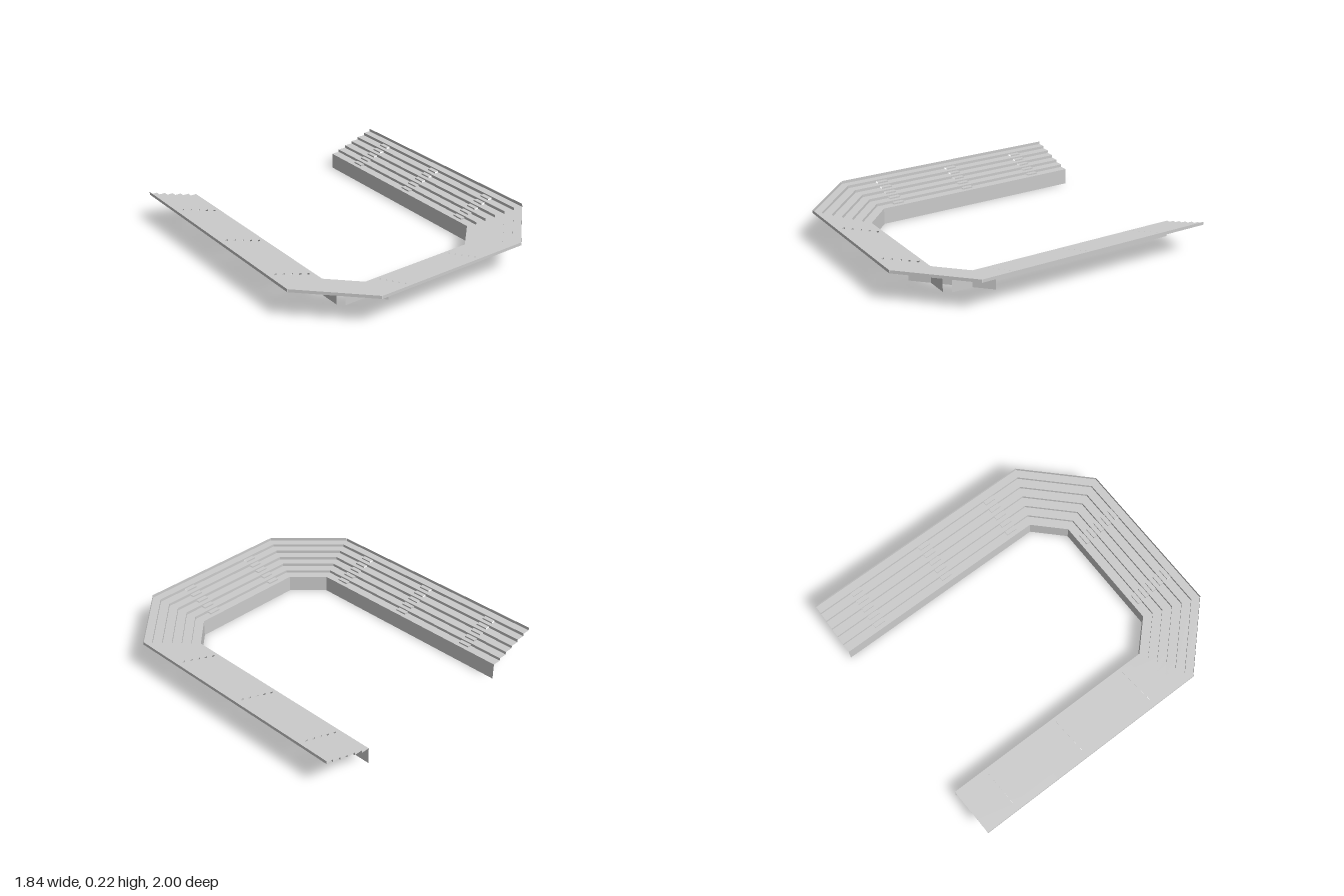
import * as THREE from 'three';

const WIDTH = 0.538;      // one stand module
const AISLE = 0.076;      // stair width at the middle of a module
const WALL = 0.11, TOP = 0.203, PARAPET = 0.223;
const RUN = 0.292, DEPTH = 0.345;
const ROWS = 5;

const material = new THREE.MeshStandardMaterial({
  color: 0xcccccc, flatShading: true, side: THREE.DoubleSide,
});

// Thin folded sheet: a [z, y] profile swept along x from x0 to x1
function foldedSheet(name, profile, x0, x1) {
  const pos = [];
  for (let i = 0; i < profile.length - 1; i++) {
    const [za, ya] = profile[i], [zb, yb] = profile[i + 1];
    pos.push(x0, ya, za, x1, yb, zb, x0, yb, zb);
    pos.push(x0, ya, za, x1, ya, za, x1, yb, zb);
  }
  // wind the faces toward the pitch and upward
  for (let i = 0; i < pos.length; i += 9) {
    for (let k = 0; k < 3; k++) {
      const t = pos[i + 3 + k];
      pos[i + 3 + k] = pos[i + 6 + k];
      pos[i + 6 + k] = t;
    }
  }
  const geometry = new THREE.BufferGeometry();
  geometry.setAttribute('position', new THREE.Float32BufferAttribute(pos, 3));
  geometry.computeVertexNormals();
  const mesh = new THREE.Mesh(geometry, material);
  mesh.name = name;
  return mesh;
}

// Stepped profile from the front wall up to the walkway
function steps(count) {
  const points = [[0, WALL]];
  for (let i = 1; i <= count; i++) {
    const z = RUN * i / count;
    points.push([z, WALL + (TOP - WALL) * (i - 1) / count]);
    points.push([z, WALL + (TOP - WALL) * i / count]);
  }
  return points;
}

// One straight module: its back faces +z, its front wall is at z = 0
function standModule(name, hasAisle) {
  const group = new THREE.Group();
  group.name = name;
  const h = WIDTH / 2, a = AISLE / 2;
  group.add(foldedSheet('frontWall', [[0, 0], [0, WALL]], -h, h));
  if (hasAisle) {
    group.add(foldedSheet('seatingTiers', steps(ROWS), -h, -a));
    group.add(foldedSheet('aisleStairs', steps(ROWS * 2), -a, a));
    group.add(foldedSheet('seatingTiers', steps(ROWS), a, h));
  } else {
    group.add(foldedSheet('seatingTiers', steps(ROWS), -h, h));
  }
  group.add(foldedSheet('walkwayAndParapet', [[RUN, TOP], [DEPTH, TOP], [DEPTH, PARAPET]], -h, h));
  return group;
}

export function createModel() {
  const model = new THREE.Group();
  model.name = 'grandstand';

  const place = (name, hasAisle, x, z, angle) => {
    const stand = standModule(name, hasAisle);
    stand.position.set(x, 0, z);
    stand.rotation.y = angle;
    model.add(stand);
  };

  for (const s of [-1, 1]) {
    const side = s > 0 ? 'left' : 'right';
    // three modules along each arm
    for (let i = 0; i < 3; i++) {
      place(side + 'Stand', true, s * 0.575, -1 + WIDTH * (i + 0.5), s * Math.PI / 2);
    }
    // diagonal corner, overlapping its neighbours
    place(side + 'CornerStand', false, s * 0.485, 0.563, s * Math.PI / 4);
    // half of the front stand
    place('frontStand', true, s * WIDTH / 2, 0.655, 0);
  }
  return model;
}
